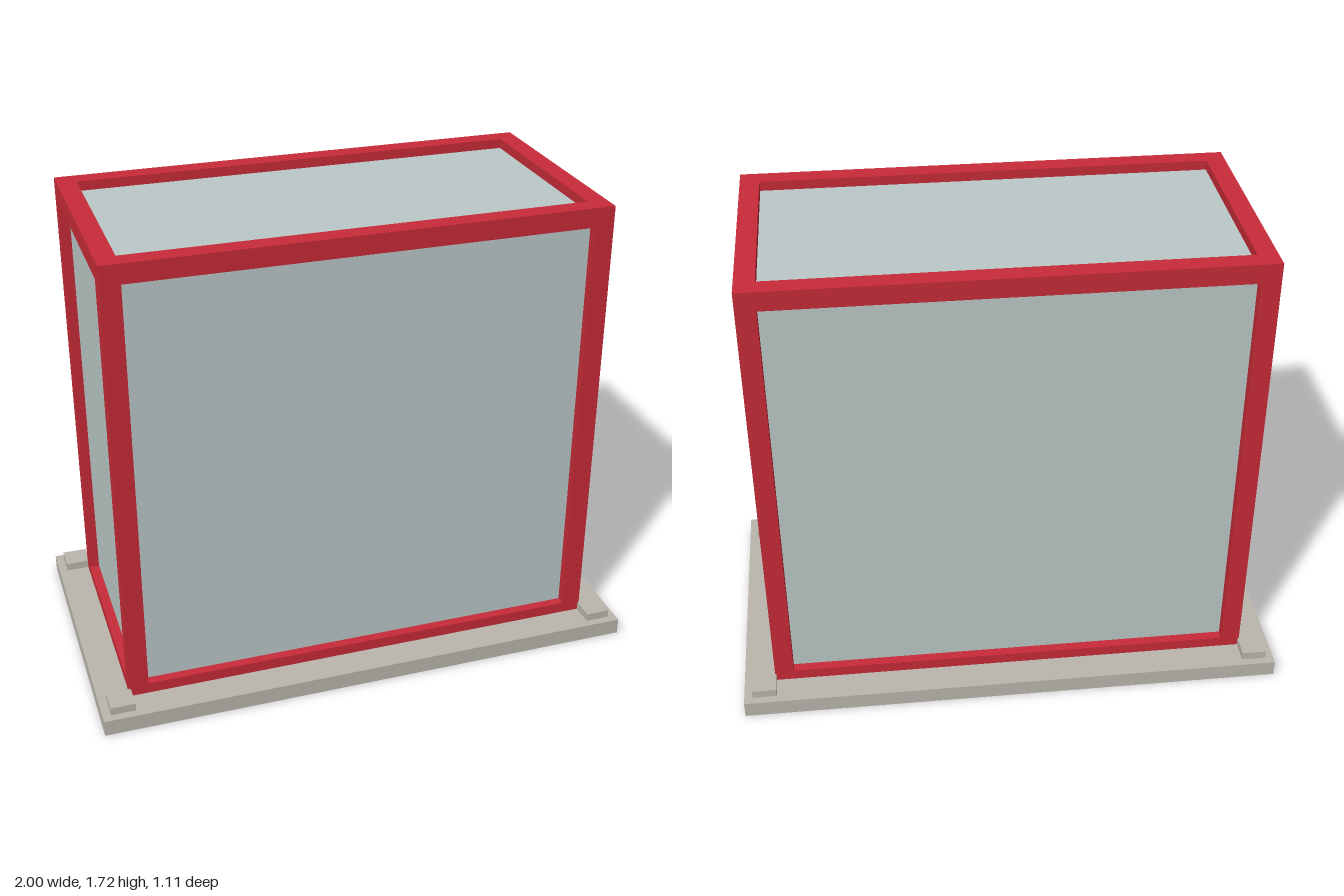
import * as THREE from 'three';

const mat = (name, color) => {
  const m = new THREE.MeshStandardMaterial({ color });
  m.name = name;
  return m;
};

export function createModel() {
  const group = new THREE.Group();
  const red = mat('red frame', 0xc82b38);
  const stone = mat('stone grey', 0xbbb7ae);
  const glass = mat('pale glass', 0xbbc9c8);

  const box = (name, material, w, h, d, x, y, z) => {
    const mesh = new THREE.Mesh(new THREE.BoxGeometry(w, h, d), material);
    mesh.name = name;
    mesh.position.set(x, y, z);
    group.add(mesh);
  };

  const W = 1.77, D = 0.88, bottom = 0.06, top = 1.715, bar = 0.07;
  const sill = 0.04; // visible height of the bottom rails
  const px = (W - bar) / 2, pz = (D - bar) / 2;

  // Base slab
  box('base', stone, 2, bottom, 1.11, 0, bottom / 2, 0);

  // Corner posts and the small feet blocks beside them
  for (const sx of [-1, 1]) {
    for (const sz of [-1, 1]) {
      box('cornerPost', red, bar, top - bottom, bar, sx * px, (top + bottom) / 2, sz * pz);
      box('cornerBlock', stone, 0.09, 0.03, 0.09, sx * 0.925, bottom + 0.015, sz * 0.48);
    }
  }

  // Top and bottom rails on all four sides
  for (const [name, h, y] of [['topRail', bar, top - bar / 2], ['bottomRail', sill, bottom + sill / 2]]) {
    for (const s of [-1, 1]) {
      box(name, red, W - 2 * bar, h, bar, 0, y, s * pz);
      box(name, red, bar, h, D - 2 * bar, s * px, y, 0);
    }
  }

  // Glazed body, its faces recessed to the middle of the bars
  const glassTop = top - bar / 2;
  box('glazing', glass, W - bar, glassTop - bottom, D - bar, 0, (glassTop + bottom) / 2, 0);

  return group;
}
